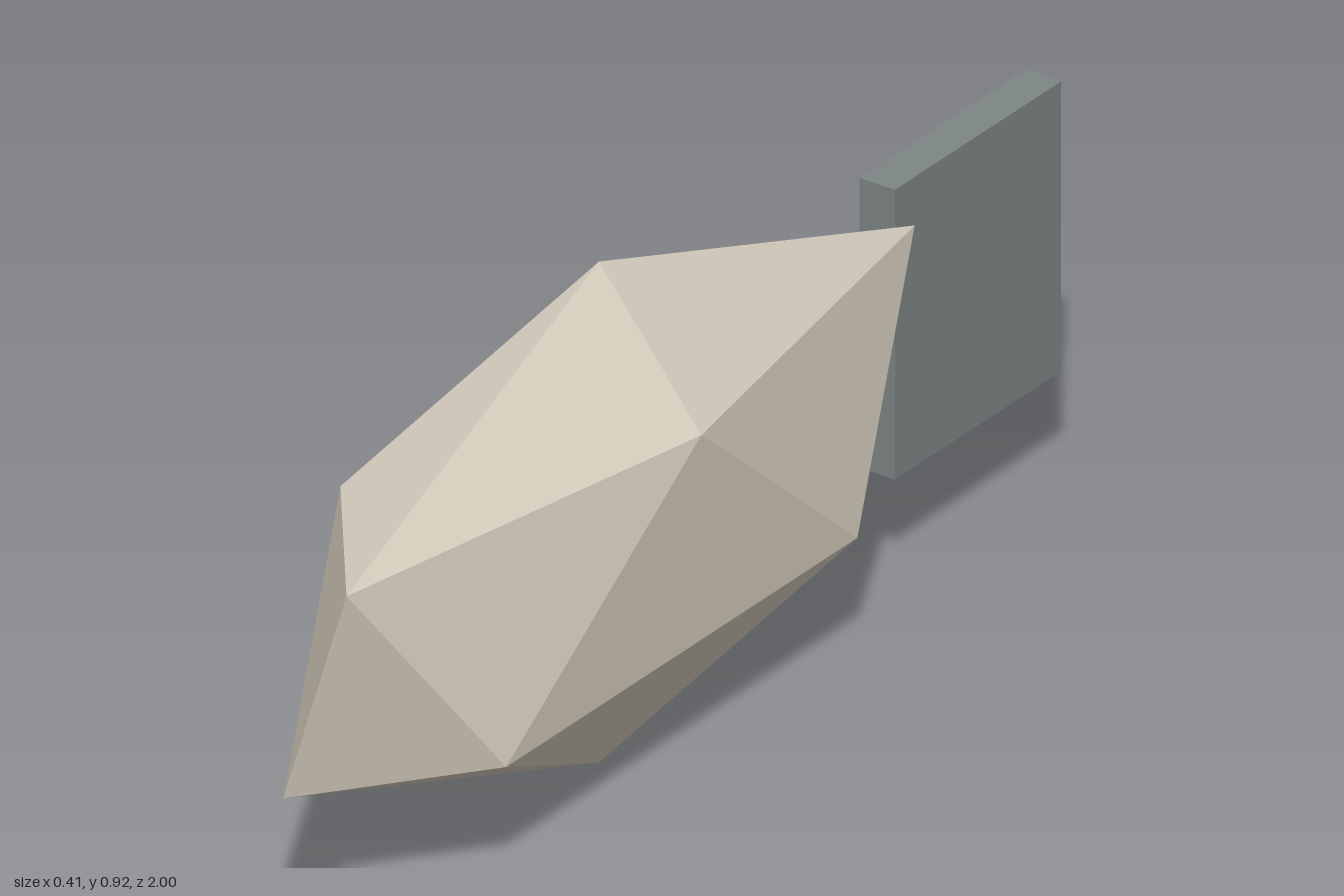
import * as THREE from 'three';

// Twenty-sided body: two poles and two staggered pentagonal rings, stretched along z
function bodyGeometry(rx, ry, rz) {
  const ring = (height, turn) => Array.from({ length: 5 }, (_, i) => {
    const a = (i * 2 + turn) * Math.PI / 5;
    return [Math.cos(a) * 0.8944 * rx, height * ry, Math.sin(a) * 0.8944 * rz];
  });
  const top = [0, ry, 0], bottom = [0, -ry, 0];
  const upper = ring(0.4472, 0), lower = ring(-0.4472, 1);
  const points = [];
  for (let i = 0; i < 5; i++) {
    const j = (i + 1) % 5;
    points.push(top, upper[j], upper[i]);
    points.push(upper[i], upper[j], lower[i]);
    points.push(lower[i], upper[j], lower[j]);
    points.push(lower[i], lower[j], bottom);
  }
  const geometry = new THREE.BufferGeometry();
  geometry.setAttribute('position', new THREE.Float32BufferAttribute(points.flat(), 3));
  geometry.computeVertexNormals();
  return geometry;
}

export function createModel() {
  const group = new THREE.Group();
  const cream = new THREE.MeshStandardMaterial({ color: 0xd8cfc0, flatShading: true });
  cream.name = 'cream';
  const slate = new THREE.MeshStandardMaterial({ color: 0x7d8585, flatShading: true });
  slate.name = 'slate grey';

  const body = new THREE.Mesh(bodyGeometry(0.228, 0.458, 0.917), cream);
  body.name = 'body';
  body.position.set(0, 0.458, 0.22);

  // Thin upright slab behind the body
  const tail = new THREE.Mesh(new THREE.BoxGeometry(0.07, 0.53, 0.456), slate);
  tail.name = 'tailFin';
  tail.position.set(0, 0.461, -0.772);

  group.add(body, tail);
  return group;
}
